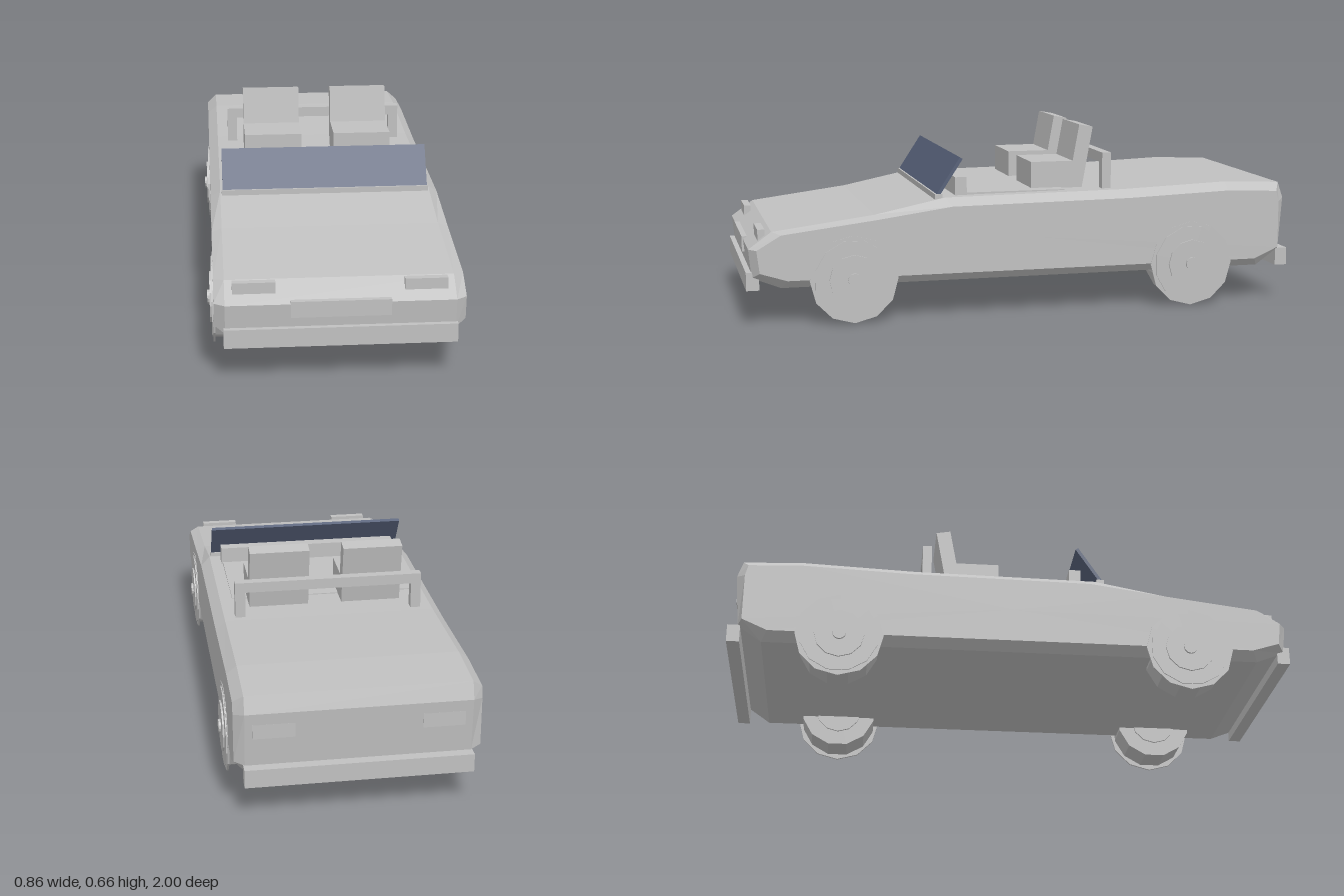
import * as THREE from 'three';

const grey = new THREE.MeshStandardMaterial({ color: 0xc0c0c0, flatShading: true });
grey.name = 'body grey';
const glass = new THREE.MeshStandardMaterial({ color: 0x566078, flatShading: true });
glass.name = 'tinted glass';

// Chamfered hull: side outlines as [z, y] pairs, front over the top to the rear and back underneath
const OUTER = [[0.99, 0.27], [0.91, 0.328], [0.55, 0.374], [0.30, 0.425], [-0.35, 0.432], [-0.75, 0.447],
  [-0.96, 0.438], [-0.98, 0.38], [-0.965, 0.19], [-0.88, 0.13], [0.88, 0.13], [0.98, 0.17]];
const INNER = [[0.965, 0.27], [0.88, 0.32], [0.55, 0.36], [0.28, 0.397], [-0.37, 0.404], [-0.75, 0.418],
  [-0.94, 0.41], [-0.95, 0.37], [-0.95, 0.20], [-0.86, 0.16], [0.86, 0.16], [0.955, 0.19]];

function hullGeometry() {
  const loops = [[-0.41, INNER], [-0.375, OUTER], [0.375, OUTER], [0.41, INNER]]
    .map(([x, outline]) => outline.map(([z, y]) => [x, y, z]));
  const positions = [];
  const tri = (...corners) => corners.forEach((c) => positions.push(...c));
  const n = OUTER.length;
  for (let i = 0; i < n; i++) {
    const j = (i + 1) % n;
    for (let k = 0; k < 3; k++) {
      const a = loops[k][i], b = loops[k][j], c = loops[k + 1][j], d = loops[k + 1][i];
      tri(a, d, c);
      tri(a, c, b);
    }
    // flat sides
    tri([0.41, 0.28, 0], loops[3][j], loops[3][i]);
    tri([-0.41, 0.28, 0], loops[0][i], loops[0][j]);
  }
  const geometry = new THREE.BufferGeometry();
  geometry.setAttribute('position', new THREE.Float32BufferAttribute(positions, 3));
  geometry.computeVertexNormals();
  return geometry;
}

export function createModel() {
  const group = new THREE.Group();
  group.name = 'convertible';

  const add = (name, geometry, material = grey, parent = group) => {
    const mesh = new THREE.Mesh(geometry, material);
    mesh.name = name;
    parent.add(mesh);
    return mesh;
  };
  // Box given by its limits on each axis
  const box = (name, [x0, x1], [y0, y1], [z0, z1], parent = group) => {
    const mesh = add(name, new THREE.BoxGeometry(x1 - x0, y1 - y0, z1 - z0), grey, parent);
    mesh.position.set((x0 + x1) / 2, (y0 + y1) / 2, (z0 + z1) / 2);
    return mesh;
  };

  add('body', hullGeometry());

  // Bumpers, plate and lamps
  box('frontBumper', [-0.38, 0.38], [0.126, 0.19], [0.955, 1]);
  box('rearBumper', [-0.38, 0.38], [0.126, 0.19], [-1, -0.955]);
  box('frontPlate', [-0.163, 0.163], [0.225, 0.28], [0.96, 0.995]);
  for (const s of [-1, 1]) {
    const side = s > 0 ? 'left' : 'right';
    const span = [s * 0.28 - 0.07, s * 0.28 + 0.07];
    box(side + 'Headlight', span, [0.28, 0.333], [0.93, 0.955]);
    box(side + 'TailLight', span, [0.29, 0.34], [-0.977, -0.96]);
  }

  // Windscreen on its base strip, and the dashboard behind it
  box('windscreenBase', [-0.37, 0.37], [0.415, 0.437], [0.308, 0.335]);
  const windscreen = add('windscreen', new THREE.BoxGeometry(0.734, 0.155, 0.012), glass);
  windscreen.position.set(0, 0.497, 0.282);
  windscreen.rotation.x = -0.58;
  box('dashboard', [-0.335, 0.335], [0.42, 0.49], [0.213, 0.255]);
  box('cockpitFloor', [-0.33, 0.33], [0.415, 0.433], [-0.15, 0.22]);

  // Seats: cushion plus a reclined back
  for (const s of [-1, 1]) {
    const seat = new THREE.Group();
    seat.name = s > 0 ? 'leftSeat' : 'rightSeat';
    seat.position.x = s * 0.168;
    group.add(seat);
    box('seatCushion', [-0.107, 0.107], [0.42, 0.528], [-0.205, -0.04], seat);
    const back = add('seatBack', new THREE.BoxGeometry(0.214, 0.235, 0.052), grey, seat);
    back.position.set(0, 0.54, -0.225);
    back.rotation.x = -0.18;
  }

  // Roll bar
  box('rollBarTop', [-0.335, 0.335], [0.525, 0.562], [-0.323, -0.29]);
  for (const s of [-1, 1]) {
    box('rollBarPost', [s * 0.317 - 0.018, s * 0.317 + 0.018], [0.42, 0.525], [-0.323, -0.29]);
  }

  // Wheels: stacked discs along x, each [name, radius, inner x, outer x, turn]
  const discs = [
    ['innerHub', 0.085, 0.283, 0.3, 0],
    ['tread', 0.14, 0.29, 0.416, Math.PI / 12],
    ['sidewall', 0.155, 0.405, 0.412, 0],
    ['rim', 0.088, 0.41, 0.422, 0],
    ['hubCap', 0.024, 0.41, 0.43, 0],
  ];
  for (const s of [-1, 1]) {
    for (const z of [0.63, -0.61]) {
      const wheel = new THREE.Group();
      wheel.name = (z > 0 ? 'front' : 'rear') + (s > 0 ? 'Left' : 'Right') + 'Wheel';
      wheel.position.set(0, 0.155, z);
      group.add(wheel);
      for (const [name, radius, x0, x1, turn] of discs) {
        const geometry = new THREE.CylinderGeometry(radius, radius, x1 - x0, 12);
        geometry.rotateZ(Math.PI / 2).rotateX(turn);
        add(name, geometry, grey, wheel).position.x = s * (x0 + x1) / 2;
      }
    }
  }
  return group;
}
